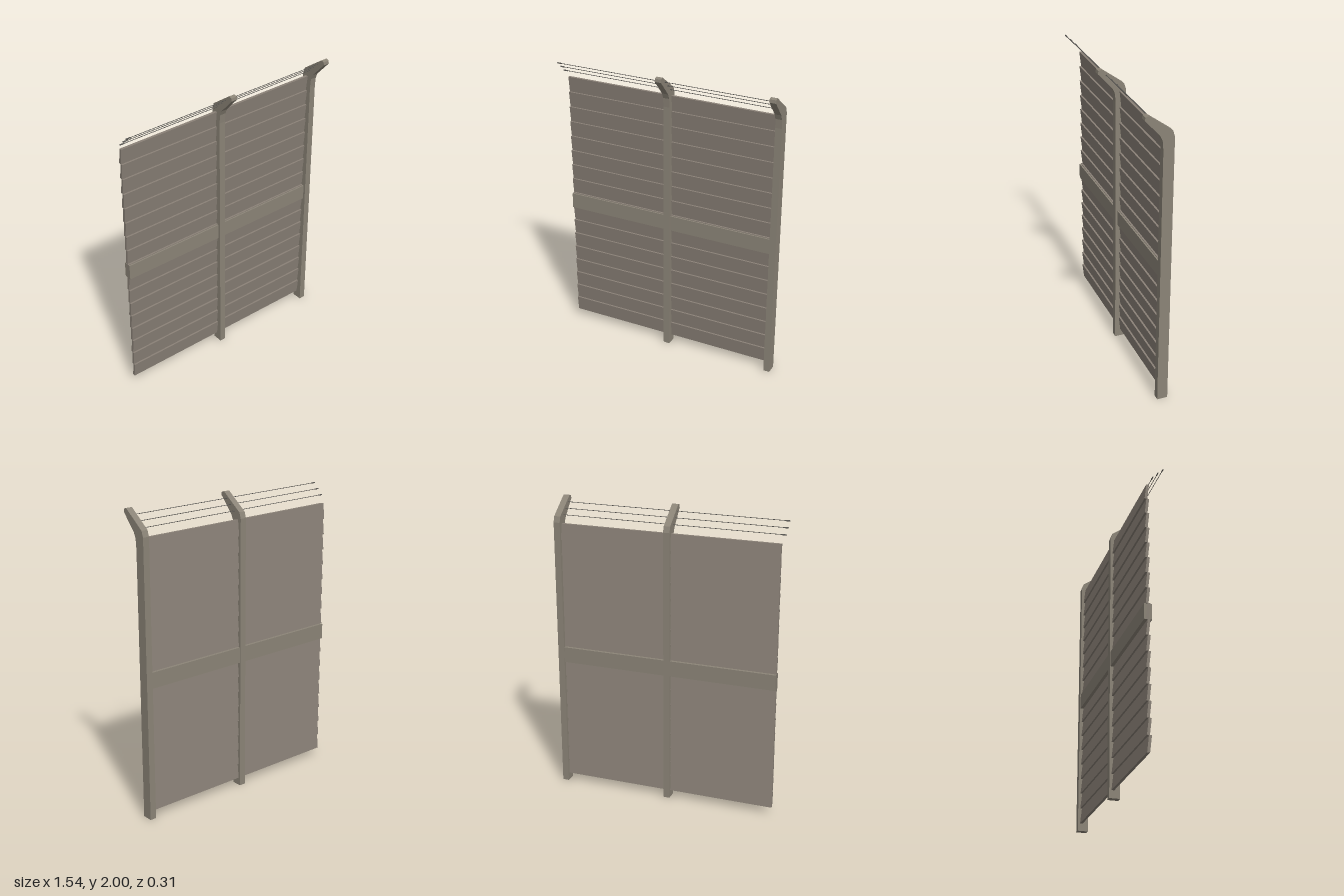
import * as THREE from 'three';

const POST_X = [0, 0.755];        // post positions along the fence
const POST_W = 0.043, SPAN = 0.755;

// Closed (z, y) outline extruded along x, centred on x = 0
function extrudeAlongX(points, length) {
  const shape = new THREE.Shape(points.map(([z, y]) => new THREE.Vector2(z, y)));
  const geo = new THREE.ExtrudeGeometry(shape, { depth: length, bevelEnabled: false });
  geo.translate(0, 0, -length / 2);
  geo.rotateY(-Math.PI / 2);
  return geo;
}

export function createModel() {
  const model = new THREE.Group();
  model.name = 'fence';

  const post = new THREE.MeshStandardMaterial({ color: 0x8b8477 });
  post.name = 'post concrete';
  const board = new THREE.MeshStandardMaterial({ color: 0x8a8177 });
  board.name = 'board grey';
  const metal = new THREE.MeshStandardMaterial({ color: 0x5c5a56 });
  metal.name = 'wire metal';

  const add = (name, geo, mat, x, y, z) => {
    const mesh = new THREE.Mesh(geo, mat);
    mesh.name = name;
    mesh.position.set(x, y, z);
    model.add(mesh);
    return mesh;
  };

  // Posts with an arm cranked towards the front
  const postGeo = extrudeAlongX([
    [-0.035, 0], [0.035, 0], [0.035, 1.77], [0.04, 1.83], [0.055, 1.865],
    [0.135, 1.955], [0.152, 1.973], [0.149, 1.993], [0.128, 2.0],
    [-0.022, 1.889], [-0.035, 1.85],
  ], POST_W);
  POST_X.forEach((x) => add('post', postGeo, post, x, 0, 0));

  // Each bay: leaning overlapped boards and one middle rail
  const bayLen = SPAN - POST_W;
  const count = 17, bottom = 0.052, pitch = (1.84 - bottom) / count;
  const boardGeo = extrudeAlongX([
    [-0.021, 0], [-0.003, 0], [0.009, pitch], [-0.009, pitch],
  ], bayLen);
  const railGeo = new THREE.BoxGeometry(bayLen, 0.105, 0.05);
  POST_X.forEach((x) => {
    const mid = x - SPAN / 2;
    for (let i = 0; i < count; i++) {
      add('board', boardGeo, board, mid, bottom + i * pitch, 0);
    }
    add('rail', railGeo, post, mid, 0.942, -0.006);
  });

  // Three wires strung through the arms, with a thicker pin at each bay start
  const wireLen = 1.49;
  const wireGeo = new THREE.CylinderGeometry(0.002, 0.002, wireLen, 6).rotateZ(Math.PI / 2);
  const pinGeo = new THREE.CylinderGeometry(0.004, 0.004, 0.033, 6).rotateZ(Math.PI / 2);
  [[1.89, 0.029], [1.926, 0.063], [1.961, 0.098]].forEach(([y, z]) => {
    add('wire', wireGeo, metal, -0.01, y, z);
    [-SPAN, 0].forEach((x) => add('wirePin', pinGeo, metal, x + 0.017, y, z));
  });

  // Whole fence stands slightly turned
  model.rotation.y = -0.082;
  model.position.set(-0.017, 0, -0.059);
  const root = new THREE.Group();
  root.name = 'fenceSection';
  root.add(model);
  return root;
}
